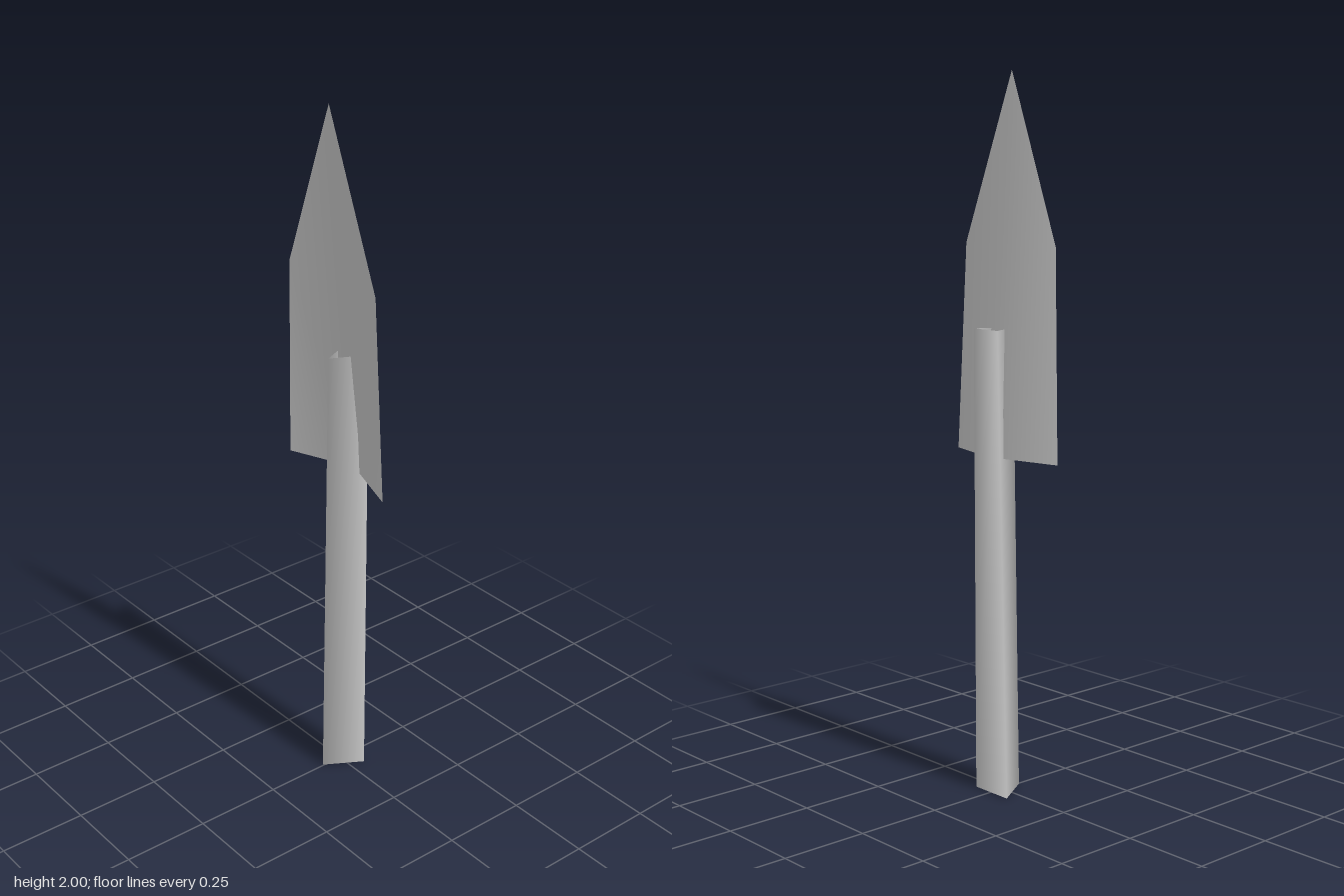
import * as THREE from 'three';

export function createModel() {
  const group = new THREE.Group();
  const material = new THREE.MeshStandardMaterial({ color: 0xcccccc, side: THREE.DoubleSide });

  // Blade: thin pointed sheet, folded back along its centre line
  const blade = new THREE.BufferGeometry();
  blade.setAttribute('position', new THREE.Float32BufferAttribute([
    0, 0.96, -0.052,    // bottom centre
    0.202, 0.955, 0.016, // left corner
    0.179, 1.535, 0.028, // left shoulder
    0, 2, 0.035,        // tip
    -0.179, 1.535, 0.028,
    -0.202, 0.955, 0.016,
  ], 3));
  blade.setIndex([0, 1, 2, 0, 2, 3, 0, 3, 4, 0, 4, 5]);
  blade.computeVertexNormals();
  const bladeMesh = new THREE.Mesh(blade, material);
  bladeMesh.name = 'blade';
  group.add(bladeMesh);

  // Handle: open three-sided tube, tapering and leaning back towards the top
  const height = 1.31;
  const handle = new THREE.CylinderGeometry(1, 1, height, 3, 1, true);
  handle.translate(0, height / 2, 0);
  const p = handle.attributes.position;
  for (let i = 0; i < p.count; i++) {
    const t = p.getY(i) / height;
    const halfWidth = THREE.MathUtils.lerp(0.064, 0.048, t);
    const front = THREE.MathUtils.lerp(0.062, 0.037, t);
    const back = THREE.MathUtils.lerp(-0.044, -0.063, t);
    const depth = (p.getZ(i) + 0.5) / 1.5;
    p.setX(i, p.getX(i) / Math.sin(Math.PI / 3) * halfWidth - 0.003);
    p.setZ(i, THREE.MathUtils.lerp(back, front, depth));
  }
  const handleMesh = new THREE.Mesh(handle, material);
  handleMesh.name = 'handle';
  group.add(handleMesh);

  return group;
}
